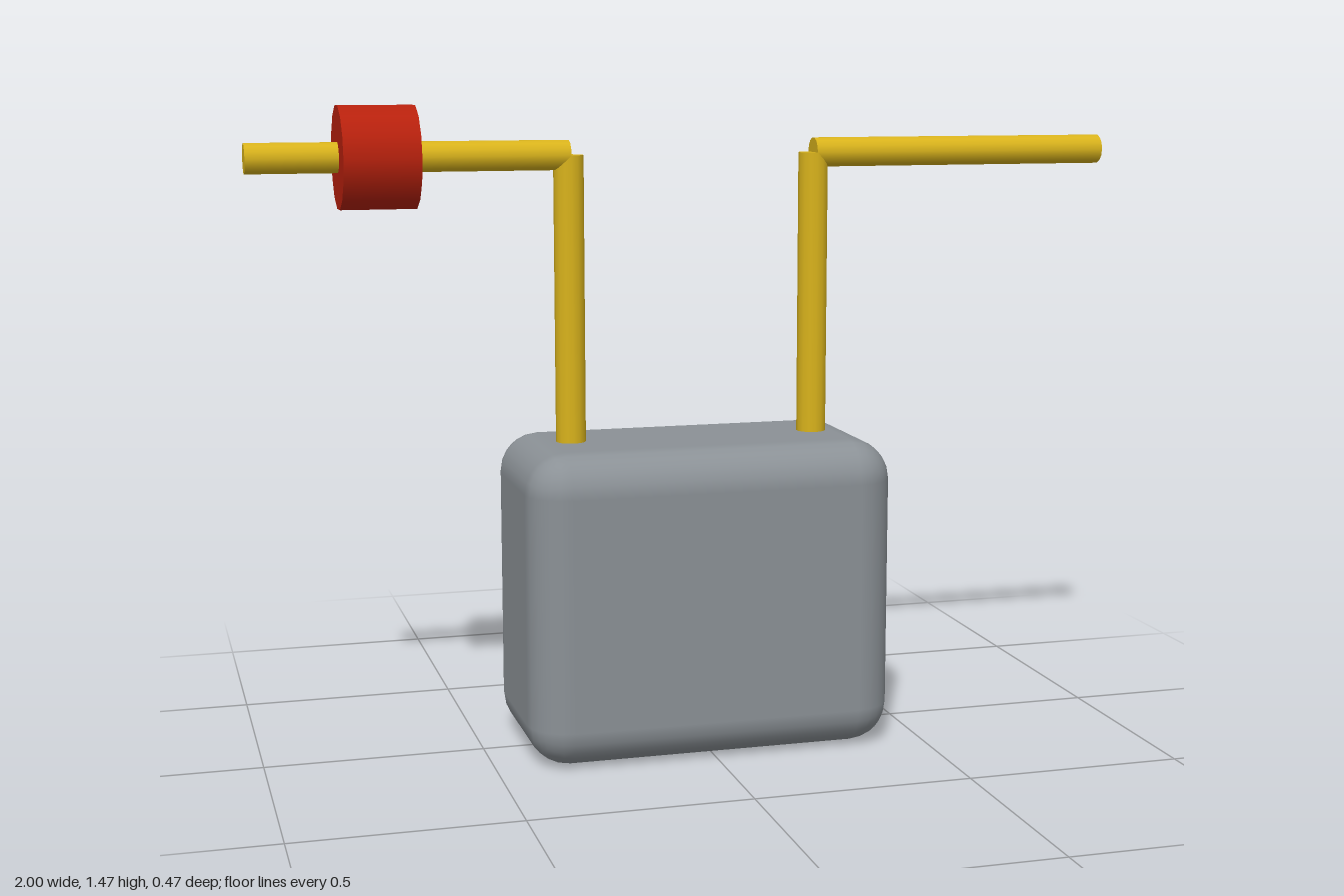
import * as THREE from 'three';
import { RoundedBoxGeometry } from 'three/addons/geometries/RoundedBoxGeometry.js';

export function createModel() {
  const model = new THREE.Group();
  const material = (name, color) => {
    const m = new THREE.MeshStandardMaterial({ color });
    m.name = name;
    return m;
  };
  const grey = material('grey', 0x8b9196);
  const yellow = material('yellow', 0xd9b31c);
  const red = material('red', 0xb8210d);
  const black = material('black', 0x0a0a0a);

  const Z = 0.006, SIDES = 14, ARM_Y = 1.36, POST_X = 0.288, ROD = 0.034;

  const add = (name, geometry, mat, x, y, z = Z) => {
    const mesh = new THREE.Mesh(geometry, mat);
    mesh.name = name;
    mesh.position.set(x, y, z);
    model.add(mesh);
    return mesh;
  };
  // cylinder lying along x
  const rodX = (radius, length) =>
    new THREE.CylinderGeometry(radius, radius, length, SIDES).rotateZ(Math.PI / 2);

  // rounded body
  add('body', new RoundedBoxGeometry(0.85, 0.712, 0.458, 3, 0.092), grey, 0, 0.356);

  // thin plate on the back
  add('backPlate', new THREE.BoxGeometry(0.28, 0.11, 0.009), black, 0, 0.53, -0.2285);

  // upright posts and the arms reaching outward
  for (const [side, s] of [['left', 1], ['right', -1]]) {
    const postBottom = 0.68, armLength = 1 - POST_X;
    add(side + 'Post', new THREE.CylinderGeometry(ROD, ROD, ARM_Y - postBottom, SIDES),
      yellow, s * POST_X, (ARM_Y + postBottom) / 2);
    add(side + 'Arm', rodX(ROD, armLength), yellow, s * (POST_X + armLength / 2), ARM_Y);
  }

  // drum on the right arm
  add('drum', rodX(0.115, 0.168), red, -0.716, ARM_Y);

  return model;
}
